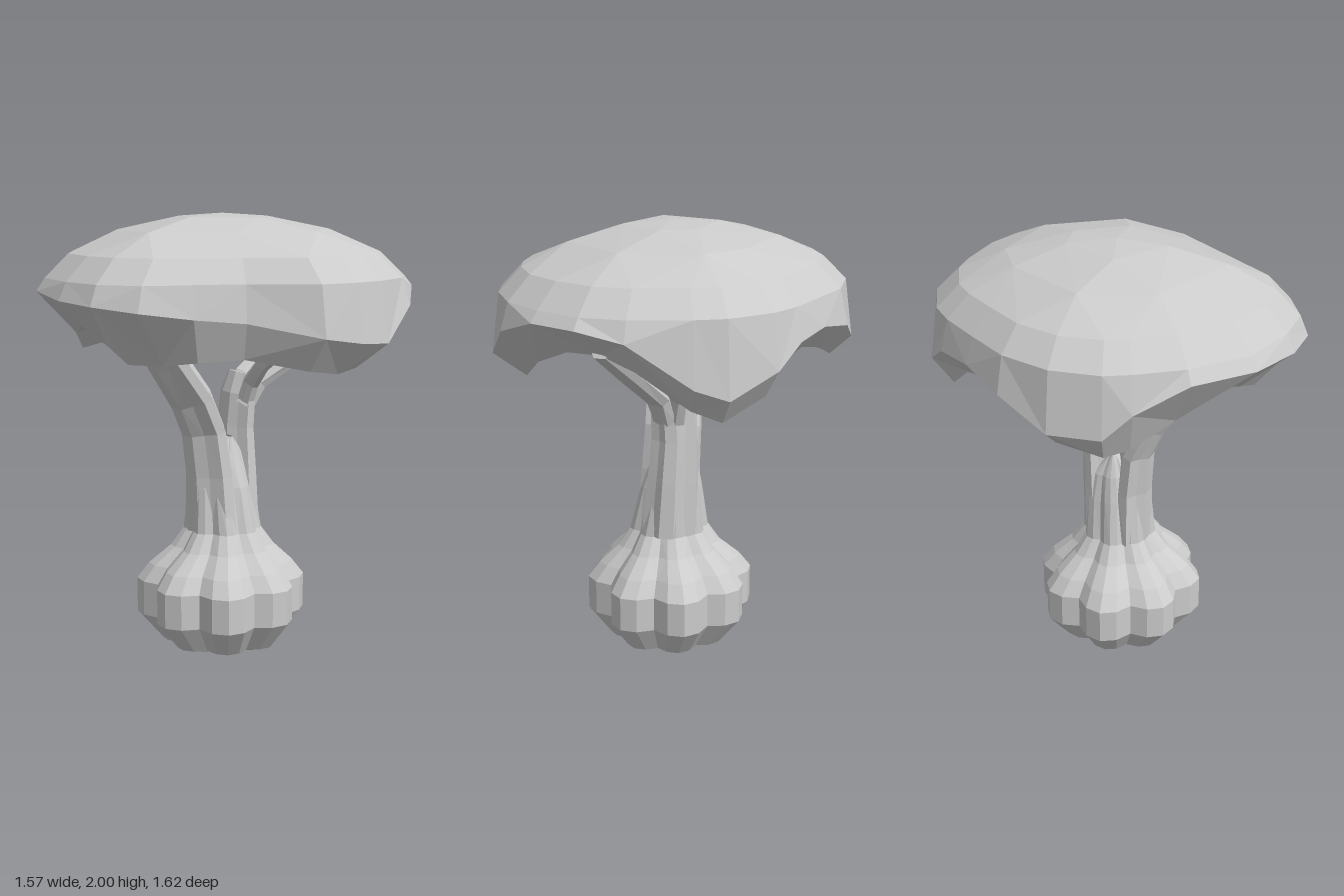
import * as THREE from 'three';
import { ConvexGeometry } from 'three/addons/geometries/ConvexGeometry.js';

const material = () => new THREE.MeshStandardMaterial({ color: 0xcccccc, flatShading: true, side: THREE.DoubleSide });

function part(name, geometry) {
  const mesh = new THREE.Mesh(geometry, material());
  mesh.name = name;
  return mesh;
}

// Skin a stack of closed rings (arrays of Vector3, equal length), bottom to top
function loft(name, rings) {
  const n = rings[0].length, index = [];
  for (let i = 0; i < rings.length - 1; i++) {
    for (let j = 0; j < n; j++) {
      const a = i * n + j, b = i * n + (j + 1) % n;
      if ((i + j) % 2) index.push(a, a + n, b, b, a + n, b + n);
      else index.push(a, a + n, b + n, a, b + n, b);
    }
  }
  const geo = new THREE.BufferGeometry().setFromPoints(rings.flat());
  geo.setIndex(index);
  geo.computeVertexNormals();
  return part(name, geo);
}

// Grooved limb; stations are [x, y, z, half width, half depth]
function limb(name, stations, sides = 12) {
  const pts = stations.map(s => new THREE.Vector3(s[0], s[1], s[2]));
  const rings = stations.map((s, i) => {
    const t = pts[Math.min(i + 1, pts.length - 1)].clone().sub(pts[Math.max(i - 1, 0)]).normalize();
    const side = t.clone().cross(new THREE.Vector3(0, 0, 1)).normalize();
    const out = side.clone().cross(t);
    return Array.from({ length: sides }, (_, j) => {
      const a = j / sides * Math.PI * 2, g = j % 3 === 2 ? 0.8 : 1;
      return pts[i].clone().addScaledVector(side, Math.cos(a) * s[3] * g).addScaledVector(out, Math.sin(a) * s[4] * g);
    });
  });
  const last = pts[pts.length - 1];
  rings.push(rings[0].map(() => last.clone()));
  return loft(name, rings);
}

// Pumpkin-like swollen base running into the grooved trunk
function makeBase() {
  // [y, radius x, radius z, centre x, centre z, groove depth]
  const profile = [
    [0, 0, 0, 0.01, 0, 0], [0.085, 0.275, 0.275, 0.01, 0.01, 0.17], [0.215, 0.38, 0.38, 0.005, 0.015, 0.17],
    [0.37, 0.38, 0.38, 0.005, 0.015, 0.17], [0.44, 0.325, 0.325, 0.005, 0.015, 0.17],
    [0.52, 0.235, 0.23, 0.01, 0.01, 0.16], [0.6, 0.18, 0.17, 0.01, 0.01, 0.15],
    [0.8, 0.14, 0.155, 0, 0.005, 0.13], [0.92, 0.105, 0.12, -0.01, 0, 0.1], [1.02, 0.07, 0.02, -0.01, 0, 0],
  ];
  const n = 32, groove = [1, 0.3, 0, 0.3];
  return loft('trunkBase', profile.map(([y, rx, rz, cx, cz, g]) =>
    Array.from({ length: n }, (_, j) => {
      const a = (j - 2) / n * Math.PI * 2, k = 1 - g * groove[j % 4];
      return new THREE.Vector3(cx + Math.cos(a) * rx * k, y, cz + Math.sin(a) * rz * k);
    })));
}

// Lopsided canopy: faceted crown over a skirt with drooping lobes and a shallow hollow
function makeCanopy() {
  // Rim stations: [x, z, height of widest point, height of lower lip, lip scale]
  const rim = [
    [-0.09, -0.81, 1.42, 1.31, 0.89], [0.05, -0.81, 1.47, 1.36, 0.88], [0.31, -0.77, 1.65, 1.5, 0.8],
    [0.49, -0.69, 1.69, 1.55, 0.76], [0.64, -0.53, 1.69, 1.54, 0.77], [0.75, -0.34, 1.62, 1.47, 0.8],
    [0.78, -0.13, 1.48, 1.37, 0.82], [0.76, 0.02, 1.49, 1.355, 0.83], [0.70, 0.2, 1.52, 1.38, 0.86],
    [0.45, 0.39, 1.58, 1.43, 0.9], [0.32, 0.56, 1.6, 1.42, 0.88], [0.19, 0.74, 1.63, 1.4, 0.73],
    [0, 0.81, 1.65, 1.4, 0.74], [-0.21, 0.78, 1.66, 1.46, 0.72], [-0.46, 0.67, 1.68, 1.54, 0.76],
    [-0.65, 0.45, 1.68, 1.47, 0.82], [-0.75, 0.25, 1.58, 1.38, 0.87], [-0.79, 0.14, 1.48, 1.37, 0.91],
    [-0.79, -0.08, 1.48, 1.4, 0.88], [-0.70, -0.30, 1.58, 1.48, 0.86], [-0.55, -0.48, 1.62, 1.52, 0.84],
    [-0.41, -0.64, 1.6, 1.49, 0.86], [-0.3, -0.73, 1.51, 1.39, 0.89],
  ];
  const level = (scale, y) => rim.map(([x, z]) => new THREE.Vector3(x * scale, y, z * scale));
  const hollow = rim.map(([x, z, , low, s]) => new THREE.Vector3(x * s * 0.78, Math.max(low + 0.02, 1.53), z * s * 0.78));
  const lip = rim.map(([x, z, , low, s]) => new THREE.Vector3(x * s, low, z * s));
  const widest = rim.map(([x, z, y]) => new THREE.Vector3(x, y, z));
  const skirt = loft('canopySkirt', [
    level(0, 1.58), level(0.4, 1.57), hollow, lip, widest, level(0.955, 1.735), level(0.83, 1.835),
  ]);

  // Crown rows thin out toward the middle: [scale, y, keep every nth, offset]
  const rows = [[0.83, 1.835, 1, 0], [0.58, 1.928, 3, 0], [0.27, 1.985, 5, 2], [0, 2, 23, 0]];
  const hull = new ConvexGeometry(rows.flatMap(([scale, y, step, offset]) =>
    level(scale, y).filter((_, j) => j % step === offset)));
  // Drop the flat floor of the hull, leaving an open cap
  const pos = hull.attributes.position, corners = [];
  for (let i = 0; i < pos.count; i += 3) {
    const tri = [0, 1, 2].map(k => new THREE.Vector3().fromBufferAttribute(pos, i + k));
    if (tri.some(p => p.y > 1.84)) corners.push(...tri);
  }
  const cap = new THREE.BufferGeometry().setFromPoints(corners);
  cap.computeVertexNormals();
  return [skirt, part('canopyCrown', cap)];
}

export function createModel() {
  const group = new THREE.Group();
  group.add(makeBase(), ...makeCanopy());

  // Two main stems rising from the split trunk
  group.add(limb('frontStem', [
    [0, 0.6, 0.08, 0.15, 0.085], [-0.01, 0.85, 0.08, 0.135, 0.085], [-0.025, 1.05, 0.1, 0.13, 0.08],
    [-0.04, 1.2, 0.165, 0.125, 0.08], [-0.06, 1.38, 0.3, 0.11, 0.075], [-0.07, 1.5, 0.4, 0.09, 0.065],
    [-0.08, 1.57, 0.45, 0.07, 0.06],
  ]));
  group.add(limb('backStem', [
    [0.02, 0.6, -0.08, 0.13, 0.08], [0.01, 0.85, -0.09, 0.115, 0.07], [0, 1.05, -0.095, 0.105, 0.06],
    [0.01, 1.2, -0.1, 0.1, 0.055], [0.02, 1.29, -0.12, 0.08, 0.05],
  ]));

  // Thinner branches spreading under the canopy
  const branches = {
    backLeftBranch: [[0.04, 1.15, -0.1, 0.06], [0.08, 1.26, -0.15, 0.055], [0.22, 1.41, -0.33, 0.05], [0.37, 1.57, -0.53, 0.04]],
    backBranch: [[0, 1.15, -0.1, 0.06], [0, 1.27, -0.16, 0.05], [0.04, 1.41, -0.35, 0.045], [0.07, 1.57, -0.56, 0.04]],
    leftBranch: [[0.05, 1.15, -0.1, 0.045], [0.1, 1.26, -0.09, 0.04], [0.2, 1.35, -0.04, 0.035], [0.4, 1.5, 0, 0.03], [0.48, 1.56, 0.02, 0.03]],
    rightBranch: [[-0.08, 1.1, 0.09, 0.06], [-0.16, 1.26, 0.12, 0.05], [-0.3, 1.41, 0.1, 0.045], [-0.45, 1.54, 0.07, 0.04], [-0.48, 1.57, 0.06, 0.03]],
    rightTwig: [[-0.1, 1.18, 0.13, 0.05], [-0.17, 1.3, 0.17, 0.04], [-0.28, 1.45, 0.21, 0.035], [-0.38, 1.57, 0.24, 0.03]],
  };
  for (const [name, path] of Object.entries(branches)) {
    group.add(limb(name, path.map(([x, y, z, r]) => [x, y, z, r, r]), 9));
  }
  return group;
}
